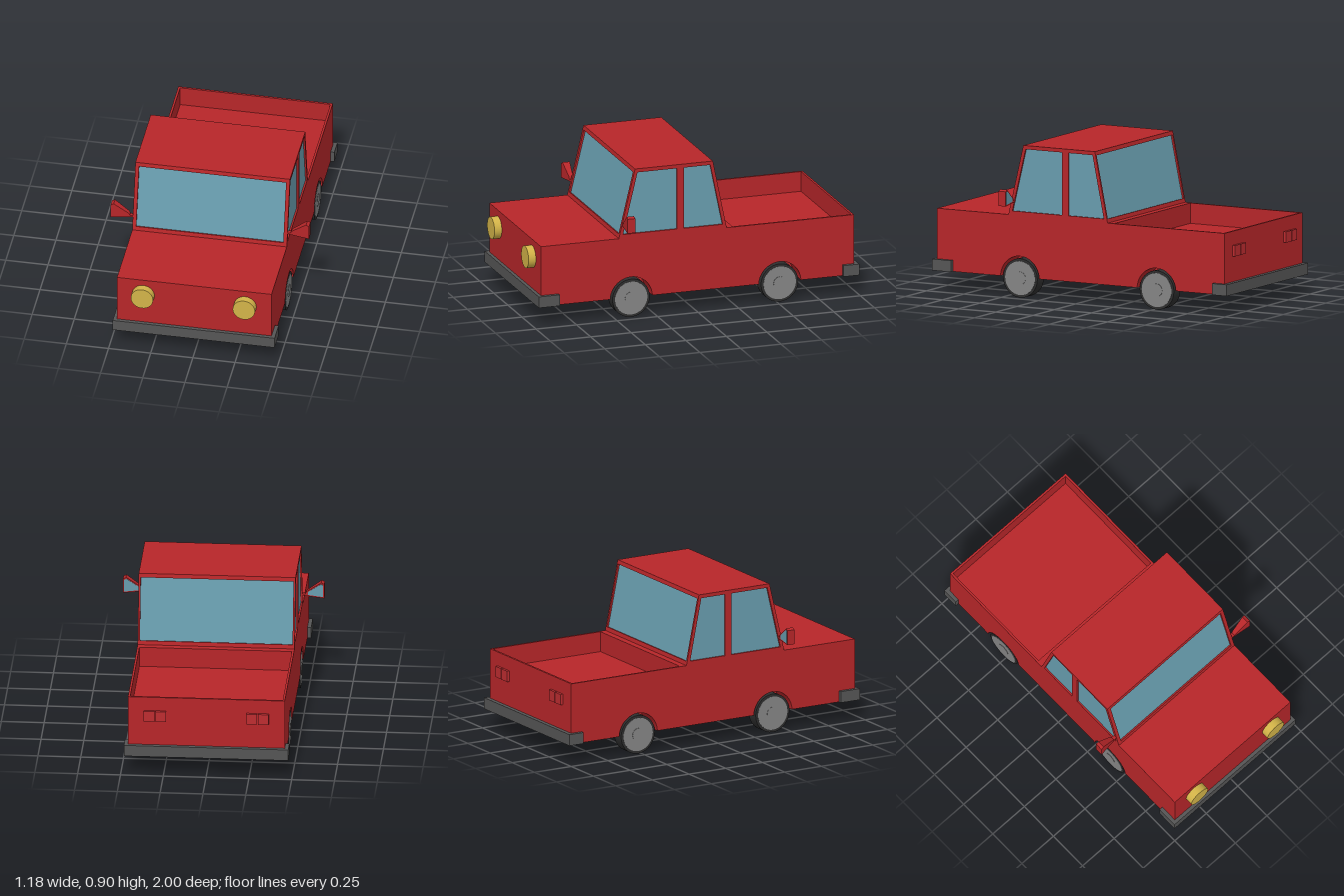
import * as THREE from 'three';

const paint = (color) => new THREE.MeshStandardMaterial({ color });
const red = paint(0xb72629), glass = paint(0x689dae), bumperGrey = paint(0x555555);
const rubber = paint(0x2e2e2e), hubGrey = paint(0x858585), yellow = paint(0xd2b348), lampRed = paint(0xbd2c30);

const W = 0.458, BOTTOM = 0.12, FLOOR = 0.365, TOP = 0.485, ROOF = 0.9;
const FRONT = 0.955, BACK = -0.975, BED = -0.23;
const WHEEL_Y = 0.115, AXLES = [0.398, -0.518];

const polygon = (pts) => new THREE.Shape(pts.map(([a, b]) => new THREE.Vector2(a, b)));

export function createModel() {
  const truck = new THREE.Group();
  truck.name = 'pickupTruck';

  function add(name, geometry, material, parent = truck) {
    const mesh = new THREE.Mesh(geometry, material);
    mesh.name = name;
    parent.add(mesh);
    return mesh;
  }
  // Box given by its limits on each axis
  function box(name, [x0, x1], [y0, y1], [z0, z1], material, parent) {
    const g = new THREE.BoxGeometry(x1 - x0, y1 - y0, z1 - z0);
    g.translate((x0 + x1) / 2, (y0 + y1) / 2, (z0 + z1) / 2);
    return add(name, g, material, parent);
  }
  // Side profile drawn as (z, y), extruded across x
  function across(shape, x0, x1) {
    const g = new THREE.ExtrudeGeometry(shape, { depth: x1 - x0, bevelEnabled: false, curveSegments: 24 });
    return g.rotateY(-Math.PI / 2).translate(x1, 0, 0);
  }

  // Lower body: core plus side strips with wheel arches cut out
  const inner = 0.33;
  box('chassis', [-inner, inner], [BOTTOM, FLOOR], [BACK, FRONT], red);
  const sill = new THREE.Shape();
  const arch = 0.13, start = Math.asin((BOTTOM - WHEEL_Y) / arch);
  sill.moveTo(BACK, FLOOR);
  sill.lineTo(BACK, BOTTOM);
  for (const z of [...AXLES].reverse()) sill.absarc(z, WHEEL_Y, arch, Math.PI - start, start, true);
  sill.lineTo(FRONT, BOTTOM);
  sill.lineTo(FRONT, FLOOR);
  add('leftSide', across(sill, inner, W), red);
  add('rightSide', across(sill, -W, -inner), red);

  // Upper body: hood block and the walls of the open bed
  box('hood', [-W, W], [FLOOR, TOP], [BED, FRONT], red);
  const wall = 0.013;
  box('leftBedWall', [W - wall, W], [FLOOR, TOP], [BACK, BED], red);
  box('rightBedWall', [-W, wall - W], [FLOOR, TOP], [BACK, BED], red);
  box('tailgate', [wall - W, W - wall], [FLOOR, TOP], [BACK, BACK + wall], red);

  // Cab: glass core inside a painted frame
  const cab = new THREE.Group();
  cab.name = 'cab';
  truck.add(cab);
  const core = polygon([[-0.18, TOP], [0.465, TOP], [0.367, 0.885], [-0.097, 0.885]]);
  add('windows', across(core, 0.01 - W, W - 0.01), glass, cab);
  box('roof', [-W, W], [ROOF - 0.02, ROOF], [-0.105, 0.375], red, cab);

  const sidePanel = polygon([[-0.19, TOP], [0.475, TOP], [0.375, ROOF], [-0.105, ROOF]]);
  sidePanel.holes.push(
    polygon([[0.116, 0.508], [0.116, 0.878], [0.365, 0.878], [0.453, 0.508]]),
    polygon([[-0.167, 0.508], [-0.09, 0.878], [0.073, 0.878], [0.073, 0.508]]));
  add('leftCabFrame', across(sidePanel, W - 0.01, W), red, cab);
  add('rightCabFrame', across(sidePanel, -W, 0.01 - W), red, cab);

  // Sloped window frame at one end of the cab
  function endFrame(name, z, run, w, turn) {
    const rise = ROOF - TOP, length = Math.hypot(run, rise);
    const shape = polygon([[-W, 0], [W, 0], [W, length], [-W, length]]);
    shape.holes.push(polygon([[-w, 0.024], [-w, length - 0.024], [w, length - 0.024], [w, 0.024]]));
    const g = new THREE.ExtrudeGeometry(shape, { depth: 0.02, bevelEnabled: false });
    g.translate(0, 0, -0.02).rotateX(-Math.atan2(run, rise)).rotateY(turn).translate(0, TOP, z);
    add(name, g, red, cab);
  }
  endFrame('windshieldFrame', 0.475, 0.1, 0.436, 0);
  endFrame('rearWindowFrame', -0.19, 0.085, 0.446, Math.PI);

  // Bumpers wrapping around the corners
  function bumper(name, bar, wrap) {
    const group = new THREE.Group();
    group.name = name;
    truck.add(group);
    const y = [BOTTOM, 0.187];
    box('bar', [-0.48, 0.48], y, bar, bumperGrey, group);
    box('leftEnd', [W, 0.48], y, wrap, bumperGrey, group);
    box('rightEnd', [-0.48, -W], y, wrap, bumperGrey, group);
  }
  bumper('frontBumper', [FRONT, 0.976], [0.847, FRONT]);
  bumper('rearBumper', [-1, BACK], [BACK, -0.903]);

  for (const side of [1, -1]) {
    const label = side > 0 ? 'left' : 'right';

    // Wheels, with rim and hubcap ending flush with the body side
    for (const z of AXLES) {
      const wheel = new THREE.Group();
      wheel.name = label + (z > 0 ? 'FrontWheel' : 'RearWheel');
      wheel.position.set(side * W, WHEEL_Y, z);
      truck.add(wheel);
      const disc = (name, radius, inside, outside, material) => {
        const g = new THREE.CylinderGeometry(radius, radius, inside - outside, 32).rotateZ(Math.PI / 2);
        add(name, g, material, wheel).position.x = -side * (inside + outside) / 2;
      };
      disc('tire', 0.115, 0.08, 0.004, rubber);
      disc('rim', 0.1, 0.02, 0.002, hubGrey);
      disc('hubcap', 0.038, 0.02, 0, hubGrey);
    }

    // Headlight
    const lamp = new THREE.CylinderGeometry(0.066, 0.066, 0.05, 32).rotateX(Math.PI / 2);
    add(label + 'Headlight', lamp, yellow).position.set(side * 0.302, 0.382, 0.975);

    // Tail light in two segments
    for (const dx of [-0.034, 0.034]) {
      const x = side * 0.3 + dx;
      box(label + 'TailLight', [x - 0.031, x + 0.031], [0.338, 0.402], [-0.992, BACK], lampRed);
    }

    // Side mirror, thinning towards the door, with glass facing back
    const outline = [[0.44, 0.563], [0.48, 0.561], [0.588, 0.553], [0.588, 0.64], [0.57, 0.65], [0.482, 0.587], [0.476, 0.573], [0.44, 0.571]];
    const pane = [[0.492, 0.568], [0.581, 0.561], [0.581, 0.634], [0.568, 0.641], [0.492, 0.587]];
    const mirrorPart = (name, pts, depth, z, material) => {
      const shape = polygon(pts.map(([x, y]) => [side * x, y]));
      const g = new THREE.ExtrudeGeometry(shape, { depth, bevelEnabled: false }).translate(0, 0, z);
      const p = g.attributes.position;
      for (let i = 0; i < p.count; i++) {
        const t = (Math.abs(p.getX(i)) - 0.44) / 0.148;
        p.setZ(i, 0.443 + p.getZ(i) * (0.35 + 0.65 * t));
      }
      g.computeVertexNormals();
      add(name, g, material);
    };
    mirrorPart(label + 'Mirror', outline, 0.048, -0.024, red);
    mirrorPart(label + 'MirrorGlass', pane, 0.004, -0.026, glass);
  }
  return truck;
}
